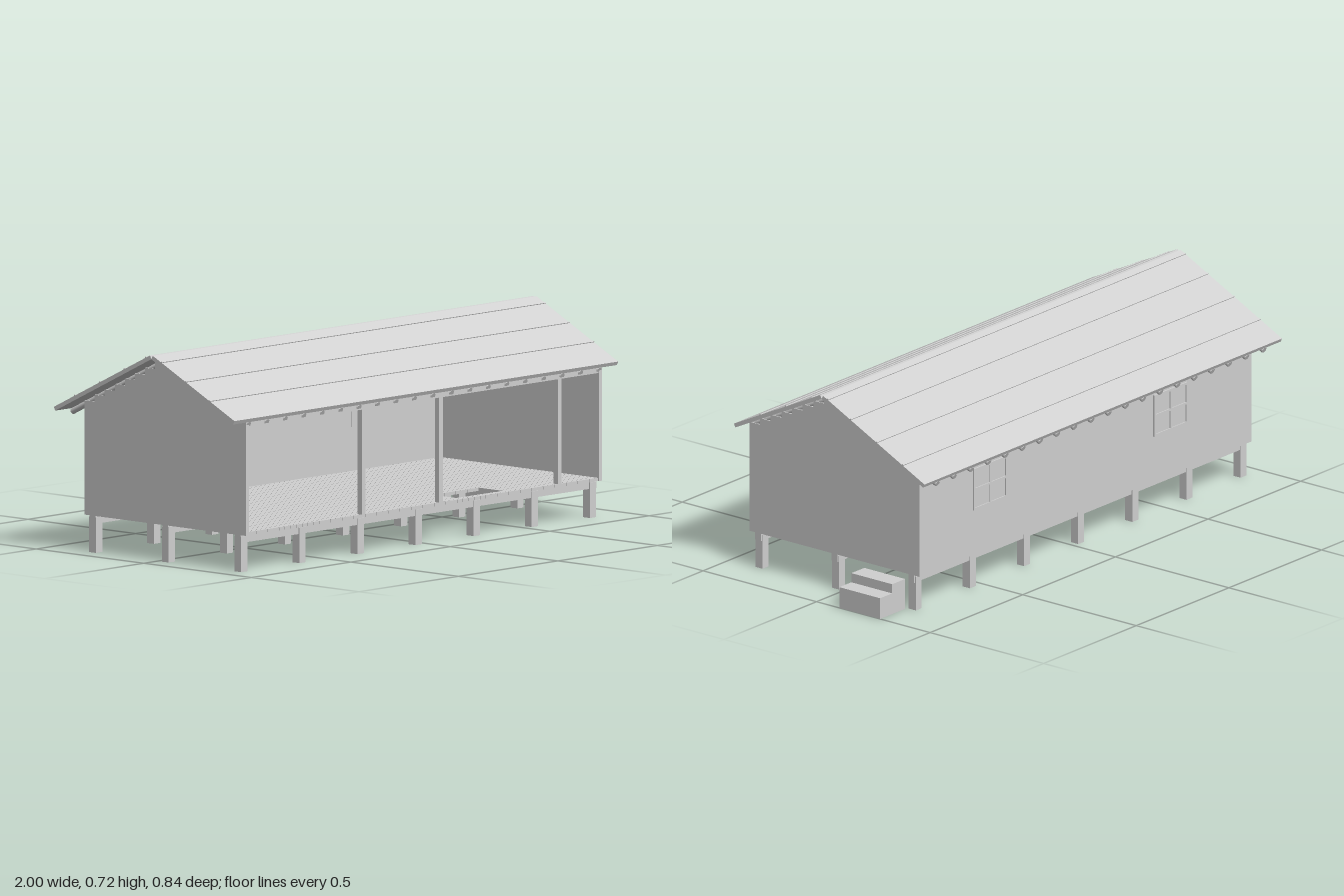
import * as THREE from 'three';

export function createModel() {
  const house = new THREE.Group();
  house.name = 'stiltHouse';
  const paint = new THREE.MeshStandardMaterial({ color: 0xd0d0d0 });
  paint.name = 'paleGrey';

  const add = (name, geometry, parent = house) => {
    const mesh = new THREE.Mesh(geometry, paint);
    mesh.name = name;
    parent.add(mesh);
    return mesh;
  };
  // Box given by its two extreme corners
  const box = (name, x0, x1, y0, y1, z0, z1, parent) => {
    const mesh = add(name, new THREE.BoxGeometry(x1 - x0, y1 - y0, z1 - z0), parent);
    mesh.position.set((x0 + x1) / 2, (y0 + y1) / 2, (z0 + z1) / 2);
    return mesh;
  };
  const group = (name) => {
    const g = new THREE.Group();
    g.name = name;
    house.add(g);
    return g;
  };

  const LEFT = 0.86, RIGHT = -0.93, FRONT = 0.41, BACK = -0.34;
  const RIDGE_Z = 0.035, RIDGE_Y = 0.707, SLOPE = 0.495;
  const angle = Math.atan(SLOPE);
  const roofY = (z) => RIDGE_Y - SLOPE * Math.abs(z - RIDGE_Z);

  // Stilts and the three long floor beams
  const base = group('foundation');
  for (const z of [0.372, 0.035, -0.303]) {
    box('floorBeam', RIGHT, LEFT, 0.1, 0.127, z - 0.013, z + 0.013, base);
    for (let i = 0; i < 7; i++) {
      const x = -0.914 + i * 0.2922;
      box('stilt', x - 0.016, x + 0.016, 0, 0.122, z - 0.016, z + 0.016, base);
    }
  }

  // Floor boards, cut short around the hatch opening
  const floor = group('floor');
  const boards = 62, pitch = (LEFT - RIGHT) / boards;
  for (let i = 0; i < boards; i++) {
    const x0 = RIGHT + i * pitch, x1 = x0 + pitch - 0.0015, mid = (x0 + x1) / 2;
    if (mid > 0.16 && mid < 0.39) {
      box('floorBoard', x0, x1, 0.127, 0.138, BACK, 0.265, floor);
      box('floorBoard', x0, x1, 0.127, 0.138, 0.375, FRONT - 0.005, floor);
    } else {
      box('floorBoard', x0, x1, 0.127, 0.138, BACK, FRONT - 0.005, floor);
    }
  }

  // End walls with board tops stepping up under the roof
  const gable = new THREE.Shape();
  gable.moveTo(FRONT, 0.127);
  const steps = 8;
  for (let i = 0; i < steps; i++) {
    const z0 = FRONT + (RIDGE_Z - FRONT) * i / steps;
    const z1 = FRONT + (RIDGE_Z - FRONT) * (i + 1) / steps;
    gable.lineTo(z0, roofY(z0));
    gable.lineTo(z1, roofY(z0));
  }
  for (let i = steps; i > 0; i--) {
    const z0 = BACK + (RIDGE_Z - BACK) * i / steps;
    const z1 = BACK + (RIDGE_Z - BACK) * (i - 1) / steps;
    gable.lineTo(z0, roofY(z1));
    gable.lineTo(z1, roofY(z1));
  }
  gable.lineTo(BACK, 0.127);
  const wallGeometry = new THREE.ExtrudeGeometry(gable, { depth: 0.015, bevelEnabled: false });
  wallGeometry.rotateY(-Math.PI / 2); // shape x becomes z, depth runs to -x
  add('leftWall', wallGeometry).position.x = LEFT;
  add('rightWall', wallGeometry).position.x = RIGHT + 0.015;

  // Back wall and its two windows
  box('backWall', RIGHT + 0.015, LEFT - 0.015, 0.127, 0.512, BACK, BACK + 0.015);
  for (const x of [-0.49, 0.483]) {
    const win = group('window');
    const x0 = x - 0.09, x1 = x + 0.09, y0 = 0.29, y1 = 0.44, t = 0.008;
    const z0 = BACK - 0.006;
    box('innerPane', x0, x1, y0, y1, BACK + 0.015, BACK + 0.018, win);
    box('outerPane', x0, x1, y0, y1, BACK - 0.002, BACK, win);
    for (const bx of [x0, x - t / 2, x1 - t]) box('windowUpright', bx, bx + t, y0, y1, z0, BACK, win);
    for (const by of [y0, (y0 + y1 - t) / 2, y1 - t]) box('windowRail', x0, x1, by, by + t, z0, BACK, win);
  }

  // Open front: posts and top beam
  for (const x of [-0.335, 0.053, 0.65]) box('frontPost', x - 0.009, x + 0.009, 0.138, 0.5, 0.388, 0.408);
  box('frontBeam', RIGHT + 0.015, LEFT - 0.015, 0.5, 0.522, 0.388, 0.408);

  // Roof slopes with batten strips, and round rafters below
  for (const [name, dir, eave] of [['front', 1, 0.415], ['back', -1, -0.412]]) {
    const slope = group(name + 'Roof');
    slope.position.set(0, RIDGE_Y, RIDGE_Z);
    slope.rotation.x = dir * angle;
    const length = Math.abs(eave - RIDGE_Z) / Math.cos(angle);
    const along = (d0, d1) => (dir > 0 ? [d0, d1] : [-d1, -d0]);
    box('roofSheet', -1, 0.93, 0, 0.014, ...along(0, length), slope);
    for (const z of [0.04, 0.153, 0.265, 0.35]) {
      const d = (dir > 0 ? z : [0.12, 0.235, 0.35, 0.02][[0.04, 0.153, 0.265, 0.35].indexOf(z)]) / Math.cos(angle);
      if (dir > 0 && z > 0.3) continue;
      box('batten', -1, 0.93, 0.014, 0.017, ...along(d - 0.003, d + 0.003), slope);
    }
    for (let i = 0; i < 20; i++) {
      const log = add('rafter', new THREE.CylinderGeometry(0.011, 0.011, length, 10), slope);
      log.rotation.x = Math.PI / 2;
      log.position.set(-0.917 + i * 0.0928, -0.011, dir * length / 2);
    }
  }

  // Two entry steps beside the left wall
  const stairs = group('entrySteps');
  box('upperStep', 0.865, 0.935, 0, 0.108, -0.28, -0.1, stairs);
  box('lowerStep', 0.935, 1, 0, 0.075, -0.28, -0.1, stairs);

  return house;
}
